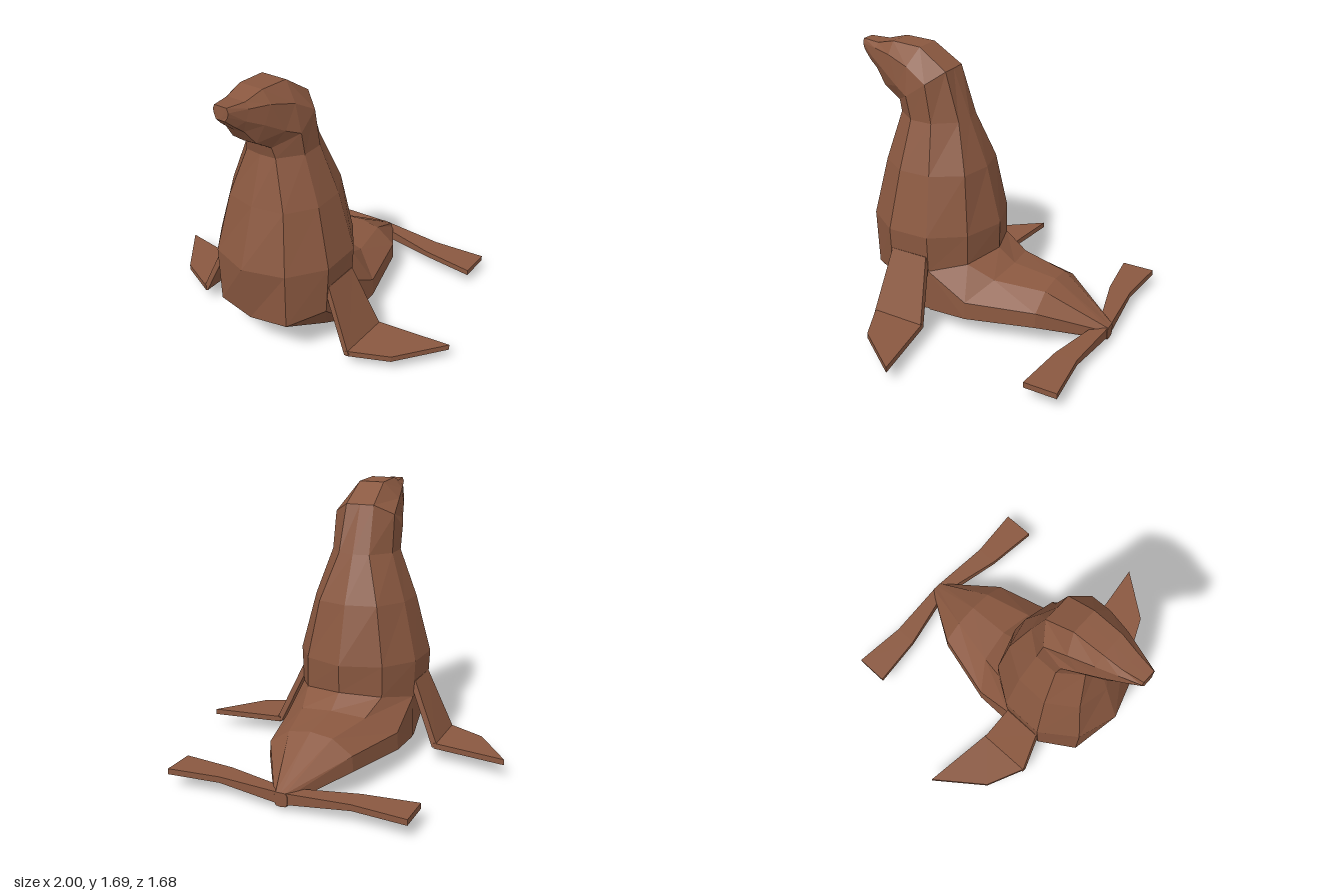
import * as THREE from 'three';

const material = new THREE.MeshStandardMaterial({ color: 0x8a5840, flatShading: true });

// Faceted skin through equal-length rings (counter-clockwise about the loft direction), capped at both ends
function loft(name, rings) {
  const n = rings[0].length, pos = [];
  const tri = (a, b, c) => pos.push(...a, ...b, ...c);
  for (let i = 0; i < rings.length - 1; i++) {
    for (let j = 0; j < n; j++) {
      const k = (j + 1) % n;
      tri(rings[i][j], rings[i][k], rings[i + 1][k]);
      tri(rings[i][j], rings[i + 1][k], rings[i + 1][j]);
    }
  }
  const first = rings[0], last = rings[rings.length - 1];
  for (let j = 1; j < n - 1; j++) {
    tri(first[0], first[j + 1], first[j]);
    tri(last[0], last[j], last[j + 1]);
  }
  const geometry = new THREE.BufferGeometry();
  geometry.setAttribute('position', new THREE.Float32BufferAttribute(pos, 3));
  geometry.computeVertexNormals();
  const mesh = new THREE.Mesh(geometry, material);
  mesh.name = name;
  return mesh;
}

// Complete a half ring (first and last point on x = 0) with its mirror image
const whole = (half) => [...half, ...half.slice(1, -1).reverse().map(([x, y, z]) => [-x, y, z])];

// Flip rings to the other side, keeping faces outward
const mirrored = (rings) => rings.map((r) => r.map(([x, y, z]) => [-x, y, z]).reverse());

// Half rings, breast to back, from belly to neck
const neck = [[0, 1.27, 0.55], [0.1, 1.27, 0.54], [0.2, 1.27, 0.41], [0.2, 1.27, 0.27], [0.1, 1.27, 0.14], [0, 1.27, 0.12]];
const torso = [
  [[0, 0.005, 0.26], [0.24, 0.04, 0.26], [0.375, 0.12, 0.24], [0.37, 0.13, 0.12], [0.2, 0.3, 0], [0, 0.3, -0.05]],
  [[0, 0.25, 0.69], [0.24, 0.27, 0.66], [0.38, 0.32, 0.46], [0.38, 0.39, 0.2], [0.25, 0.43, 0], [0, 0.45, -0.08]],
  [[0, 0.62, 0.75], [0.245, 0.62, 0.67], [0.395, 0.62, 0.46], [0.39, 0.62, 0.2], [0.25, 0.62, 0], [0, 0.62, -0.085]],
  [[0, 0.98, 0.64], [0.19, 0.98, 0.6], [0.305, 0.98, 0.43], [0.3, 0.98, 0.23], [0.19, 0.98, 0.05], [0, 0.98, 0.005]],
  neck,
];

// Half rings, chin to crown, from neck to nose
const head = [
  neck,
  [[0, 1.34, 0.57], [0.09, 1.34, 0.56], [0.2, 1.41, 0.44], [0.195, 1.5, 0.31], [0.09, 1.56, 0.23], [0, 1.56, 0.23]],
  [[0, 1.41, 0.68], [0.08, 1.41, 0.67], [0.165, 1.45, 0.53], [0.17, 1.58, 0.45], [0.08, 1.68, 0.41], [0, 1.68, 0.41]],
  [[0, 1.5, 0.75], [0.06, 1.5, 0.74], [0.125, 1.52, 0.65], [0.13, 1.62, 0.6], [0.075, 1.69, 0.6], [0, 1.69, 0.6]],
  [[0, 1.54, 0.8], [0.05, 1.54, 0.79], [0.085, 1.57, 0.75], [0.09, 1.63, 0.72], [0.06, 1.66, 0.72], [0, 1.66, 0.72]],
  [[0, 1.59, 0.845], [0.03, 1.59, 0.845], [0.045, 1.615, 0.84], [0.05, 1.64, 0.84], [0.04, 1.665, 0.84], [0, 1.665, 0.84]],
];

// Half rings, underside to top, from tail tip forward
const tail = [
  [[0, 0.035, -0.84], [0.03, 0.04, -0.84], [0.04, 0.06, -0.84], [0.04, 0.1, -0.84], [0.03, 0.12, -0.84], [0, 0.12, -0.84]],
  [[0, 0.02, -0.47], [0.15, 0.07, -0.47], [0.27, 0.14, -0.47], [0.265, 0.235, -0.47], [0.14, 0.32, -0.47], [0, 0.34, -0.47]],
  [[0, 0.012, -0.05], [0.23, 0.06, -0.05], [0.38, 0.13, -0.05], [0.375, 0.24, -0.05], [0.21, 0.345, -0.16], [0, 0.37, -0.19]],
  [[0, 0.005, 0.26], [0.24, 0.04, 0.25], [0.38, 0.12, 0.2], [0.38, 0.39, 0.2], [0.25, 0.43, 0], [0, 0.45, -0.08]],
];

// Front flipper: sloping arm and flat foot
const arm = [
  [[0.53, 0.09, 0.49], [0.56, 0.1, 0.49], [0.56, 0.11, 0.15], [0.53, 0.09, 0.15]],
  [[0.355, 0.48, 0.45], [0.39, 0.49, 0.45], [0.39, 0.49, 0.21], [0.355, 0.48, 0.21]],
];
const footOutline = [[0.54, 0.49], [0.78, 0.38], [1, 0.09], [0.54, 0.15]];
const foot = [0.087, 0.122].map((y) => footOutline.map(([x, z]) => [x, y, z]));

// Hind flipper sections along x: x, rear z, front z, bottom y, top y
const hind = [
  [0, -0.84, -0.77, 0.05, 0.12],
  [0.41, -0.81, -0.67, 0.085, 0.122],
  [0.74, -0.84, -0.635, 0.087, 0.122],
].map(([x, z0, z1, y0, y1]) => [[x, y0, z0], [x, y1, z0], [x, y1, z1], [x, y0, z1]]);

export function createModel() {
  const model = new THREE.Group();
  model.name = 'seaLion';
  model.add(
    loft('torso', torso.map(whole)),
    loft('head', head.map(whole)),
    loft('tail', tail.map(whole)),
  );
  const limbs = { FrontArm: arm, FrontFoot: foot, HindFlipper: hind };
  for (const [part, rings] of Object.entries(limbs)) {
    model.add(loft('left' + part, rings), loft('right' + part, mirrored(rings)));
  }
  return model;
}
